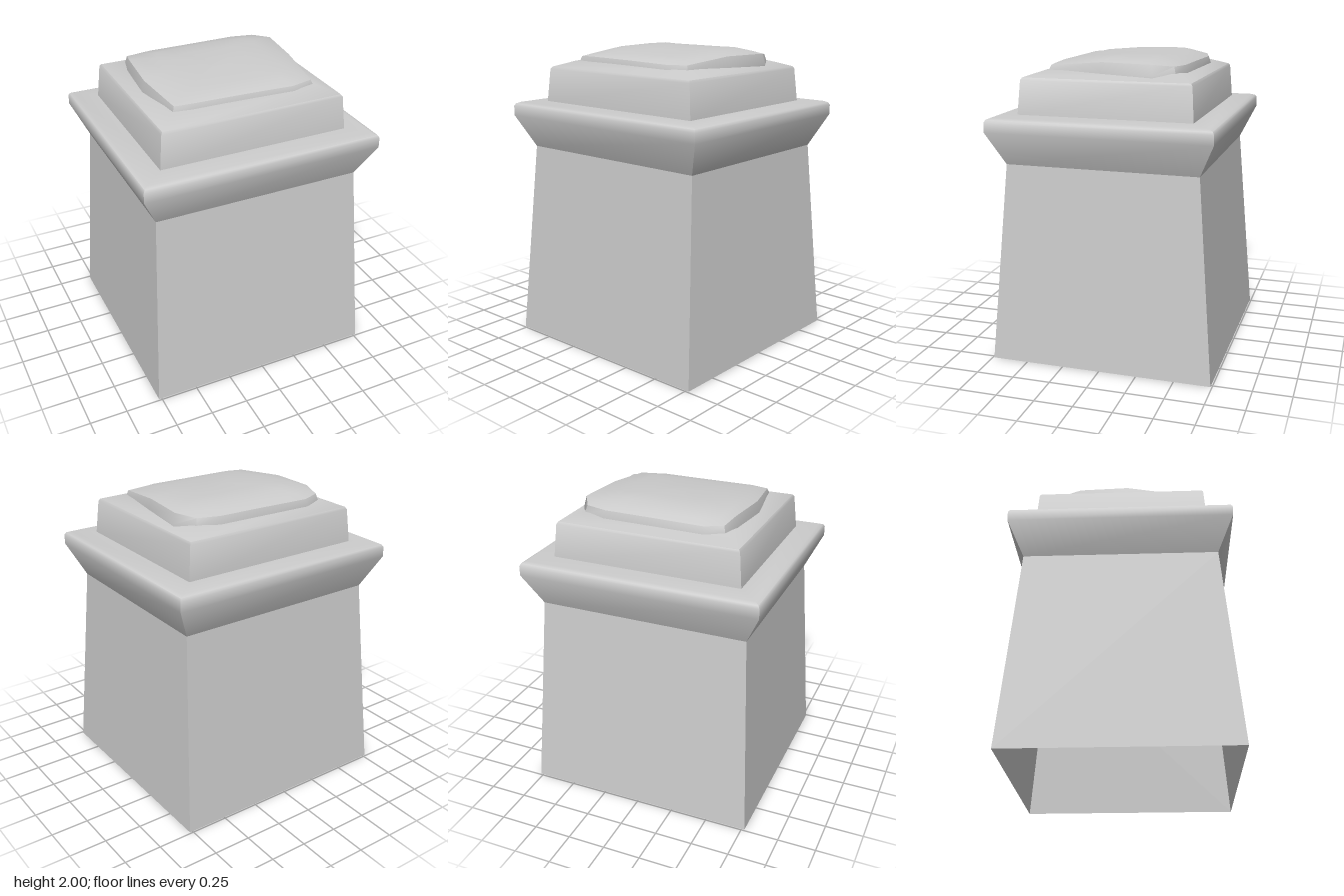
import * as THREE from 'three';
import { toCreasedNormals } from 'three/addons/utils/BufferGeometryUtils.js';

// Skin a stack of equal-length rings (each ring runs anticlockwise seen from above)
function loft(rings, crease, closeTop = false) {
  const n = rings[0].length;
  const pos = rings.flat(2);
  const idx = [];
  for (let r = 0; r < rings.length - 1; r++) {
    for (let i = 0; i < n; i++) {
      const a = r * n + i, b = r * n + (i + 1) % n;
      idx.push(a, b, b + n, a, b + n, a + n);
    }
  }
  if (closeTop) {
    const s = (rings.length - 1) * n;
    for (let i = 1; i < n - 1; i++) idx.push(s, s + i, s + i + 1);
  }
  const g = new THREE.BufferGeometry();
  g.setAttribute('position', new THREE.Float32BufferAttribute(pos, 3));
  g.setIndex(idx);
  return toCreasedNormals(g, crease);
}

// Rectangular ring from half-width, half-depth and height
const rect = ([w, d, y]) => [[-w, y, d], [w, y, d], [w, y, -d], [-w, y, -d]];

// Piecewise-linear lookup through [input, output] pairs
function lookup(table, v) {
  if (v <= table[0][0]) return table[0][1];
  for (let i = 1; i < table.length; i++) {
    const [a, fa] = table[i - 1], [b, fb] = table[i];
    if (v <= b) return fa + (fb - fa) * (v - a) / (b - a);
  }
  return table[table.length - 1][1];
}

export function createModel() {
  const group = new THREE.Group();
  const stone = new THREE.MeshStandardMaterial({ color: 0xcccccc, side: THREE.DoubleSide });
  stone.name = 'grey stone';
  const add = (name, geometry) => {
    const mesh = new THREE.Mesh(geometry, stone);
    mesh.name = name;
    group.add(mesh);
  };

  // Tapered shaft, open underneath
  add('shaft', loft([[0.77, 0.74, 0], [0.697, 0.63, 1.325]].map(rect), 0.3));

  // Flared cornice with a rounded upper lip
  add('cornice', loft([
    [0.697, 0.63, 1.325], [0.8, 0.73, 1.54], [0.8, 0.73, 1.605],
    [0.79, 0.72, 1.622], [0.765, 0.695, 1.632], [0.62, 0.56, 1.637],
  ].map(rect), 0.9));

  // Upper block with sloping shoulders
  add('upperBlock', loft([
    [0.634, 0.572, 1.63], [0.613, 0.556, 1.855], [0.603, 0.546, 1.87], [0.49, 0.43, 1.91],
  ].map(rect), 0.6, true));

  // Weathered, cushion-shaped capstone: outline in x, z
  const outline = [
    [-0.48, 0.41], [-0.36, 0.428], [0, 0.437], [0.33, 0.447], [0.48, 0.415],
    [0.52, 0.05], [0.555, -0.29], [0.48, -0.42], [0.33, -0.458], [0, -0.462],
    [-0.35, -0.467], [-0.475, -0.43], [-0.505, -0.3], [-0.53, 0.04],
  ];
  const heightZ = [[-0.46, 1.94], [-0.42, 1.965], [-0.28, 2], [-0.05, 2], [0.05, 1.995], [0.25, 1.978], [0.4, 1.955], [0.45, 1.925]];
  const dropX = [[0.33, 0], [0.45, 0.012], [0.55, 0.035]];
  const top = (x, z) => lookup(heightZ, z) - lookup(dropX, Math.abs(x));
  const ring = (s, y) => outline.map(([x, z]) => [x * s, y ?? top(x * s, z * s), z * s]);
  add('capstone', loft([
    ring(1, 1.87), ring(1, 1.9), ring(0.97), ring(0.85), ring(0.65), ring(0.4), ring(0.15),
  ], 0.75, true));

  return group;
}
